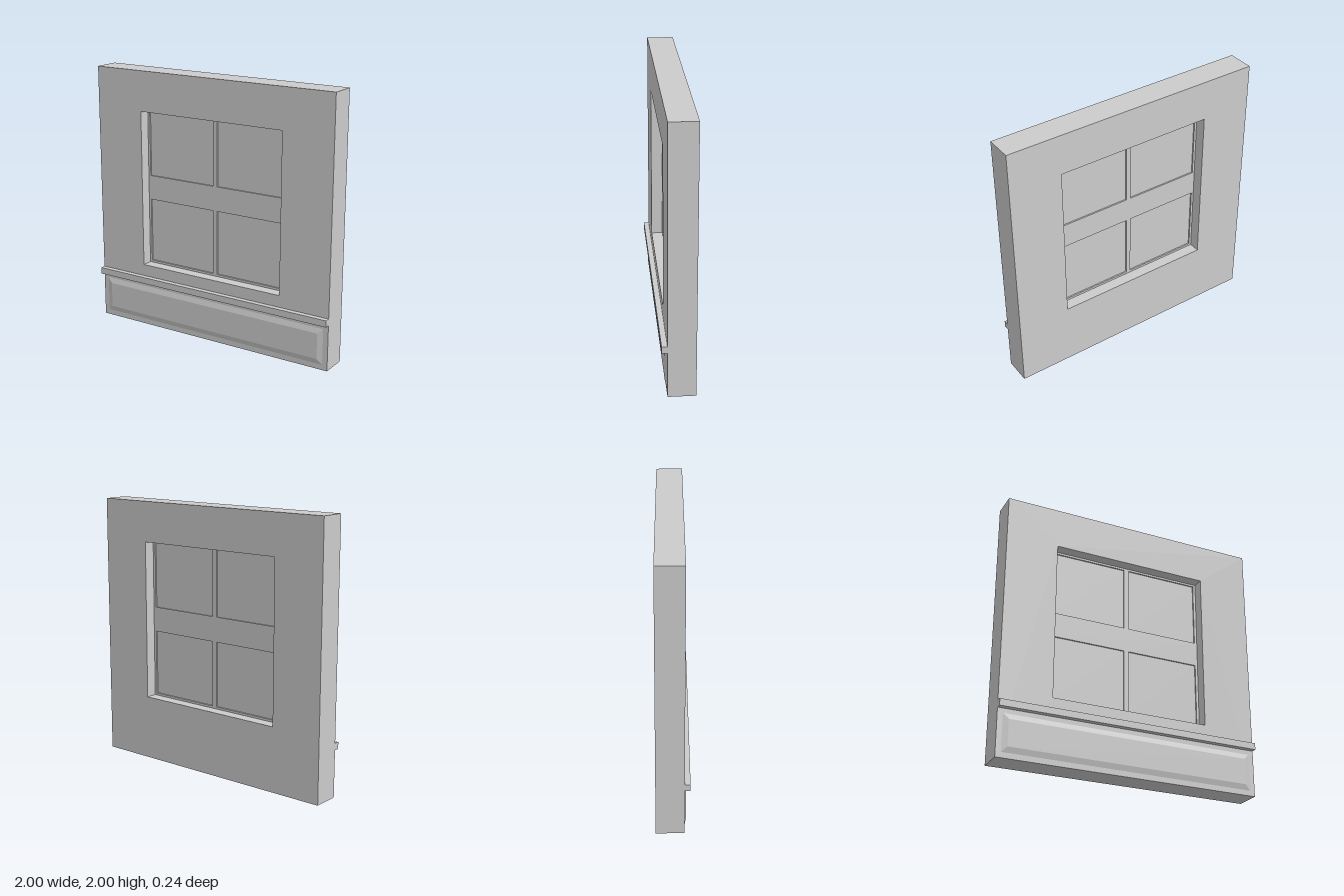
import * as THREE from 'three';

const material = new THREE.MeshStandardMaterial({ color: 0xcccccc, flatShading: true });

function add(group, name, geometry) {
  const mesh = new THREE.Mesh(geometry, material);
  mesh.name = name;
  group.add(mesh);
  return mesh;
}

// Counter-clockwise rectangle outline from its edges
function rect(Type, x0, x1, y0, y1) {
  const r = new Type();
  r.moveTo(x0, y0);
  r.lineTo(x1, y0);
  r.lineTo(x1, y1);
  r.lineTo(x0, y1);
  r.closePath();
  return r;
}

// Upright slab with rectangular holes, between two depths
function slab(outer, holes, z0, z1) {
  const shape = rect(THREE.Shape, ...outer);
  holes.forEach((h) => shape.holes.push(rect(THREE.Path, ...h)));
  return new THREE.ExtrudeGeometry(shape, { depth: z1 - z0, bevelEnabled: false }).translate(0, 0, z0);
}

// Box whose front face is inset, giving four sloping sides
function raisedPanel(width, height, depth, inset) {
  const geometry = new THREE.BoxGeometry(width, height, depth);
  const p = geometry.attributes.position;
  for (let i = 0; i < p.count; i++) {
    if (p.getZ(i) < 0) continue;
    p.setX(i, p.getX(i) - Math.sign(p.getX(i)) * inset);
    p.setY(i, p.getY(i) - Math.sign(p.getY(i)) * inset);
  }
  geometry.computeVertexNormals();
  return geometry;
}

export function createModel() {
  const model = new THREE.Group();
  model.name = 'windowWall';

  const back = -0.12, front = 0.08;
  const opening = [-0.605, 0.6, 0.49, 1.695];

  // Wall with a through opening
  add(model, 'wall', slab([-1, 1, 0, 2], [opening], back, front));

  // Window frame with a thick middle rail and a slim mullion
  const panes = [];
  for (const [x0, x1] of [[-0.587, -0.02], [0.015, 0.58]]) {
    for (const [y0, y1] of [[0.507, 1.0], [1.188, 1.68]]) panes.push([x0, x1, y0, y1]);
  }
  const window = new THREE.Group();
  window.name = 'window';
  model.add(window);
  add(window, 'windowFrame', slab(opening, panes, -0.035, -0.005));

  // Panes set back from both faces of the frame
  panes.forEach((pane) => add(window, 'windowPane', slab(pane, [], -0.024, -0.016)));

  // Ledge across the front
  add(model, 'ledge', new THREE.BoxGeometry(2, 0.05, 0.04)).position.set(0, 0.375, front + 0.02);

  // Raised panel with sloping edges below the ledge
  add(model, 'raisedPanel', raisedPanel(1.92, 0.275, 0.012, 0.04)).position.set(0, 0.178, front + 0.006);

  return model;
}
